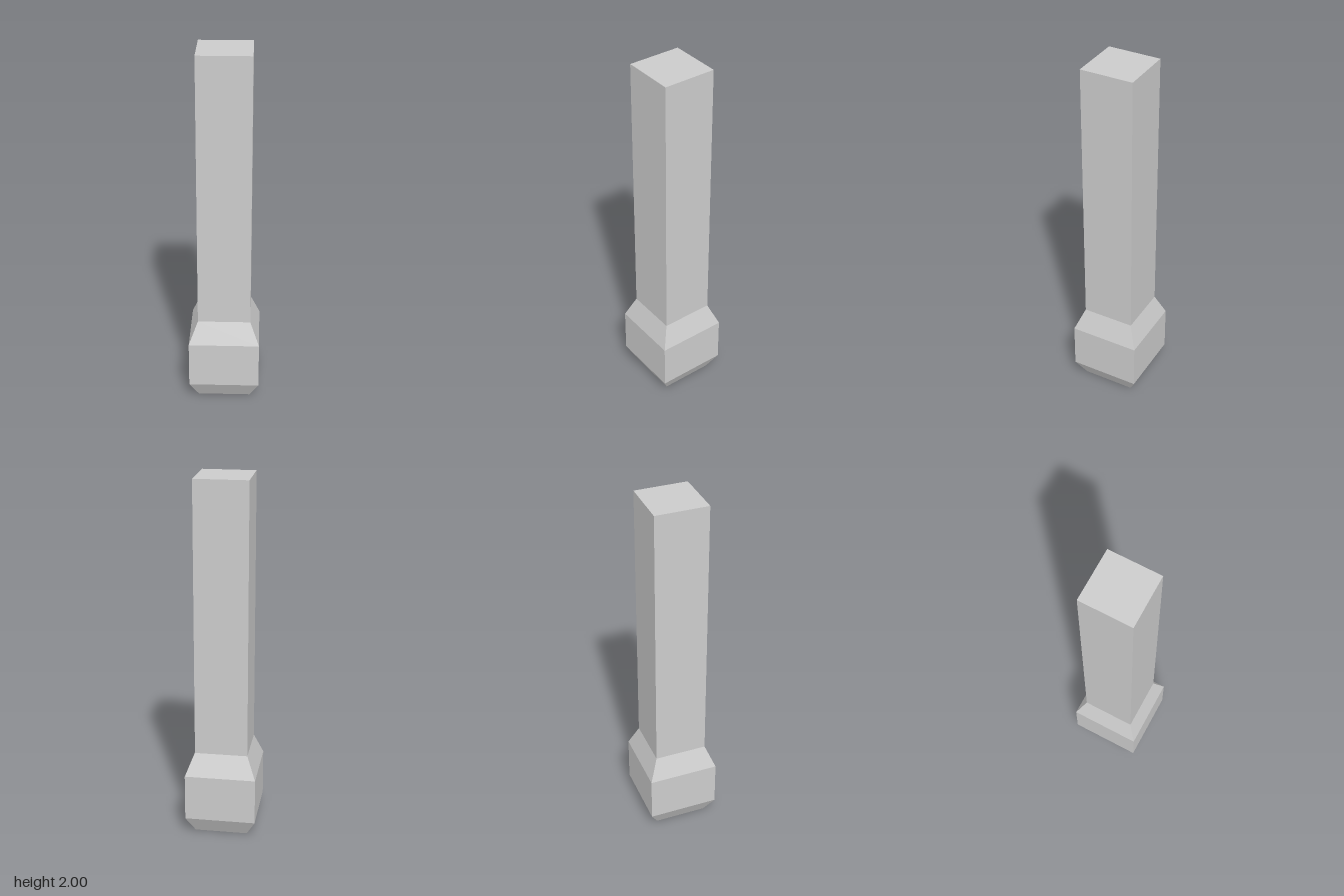
import * as THREE from 'three';

const SHAFT = 0.146; // half width of the shaft and of the base
const BULGE = 0.196; // half width of the thick foot

// Square-section solid from [half width, height] pairs, listed bottom to top
function squareLathe(name, profile, material) {
  const points = profile.map(([half, y]) => new THREE.Vector2(half * Math.SQRT2, y));
  const geometry = new THREE.LatheGeometry(points, 4, Math.PI / 4).toNonIndexed();
  geometry.computeVertexNormals();
  const mesh = new THREE.Mesh(geometry, material);
  mesh.name = name;
  return mesh;
}

export function createModel() {
  const group = new THREE.Group();
  group.name = 'post';
  const material = new THREE.MeshStandardMaterial({ color: 0xcccccc, flatShading: true });

  // Thick foot, chamfered below and above, closed underneath
  group.add(squareLathe('foot', [
    [0, 0], [SHAFT, 0], [BULGE, 0.095], [BULGE, 0.355], [SHAFT, 0.48],
  ], material));

  // Long straight shaft with a flat top
  group.add(squareLathe('shaft', [[SHAFT, 0.48], [SHAFT, 2], [0, 2]], material));

  return group;
}
